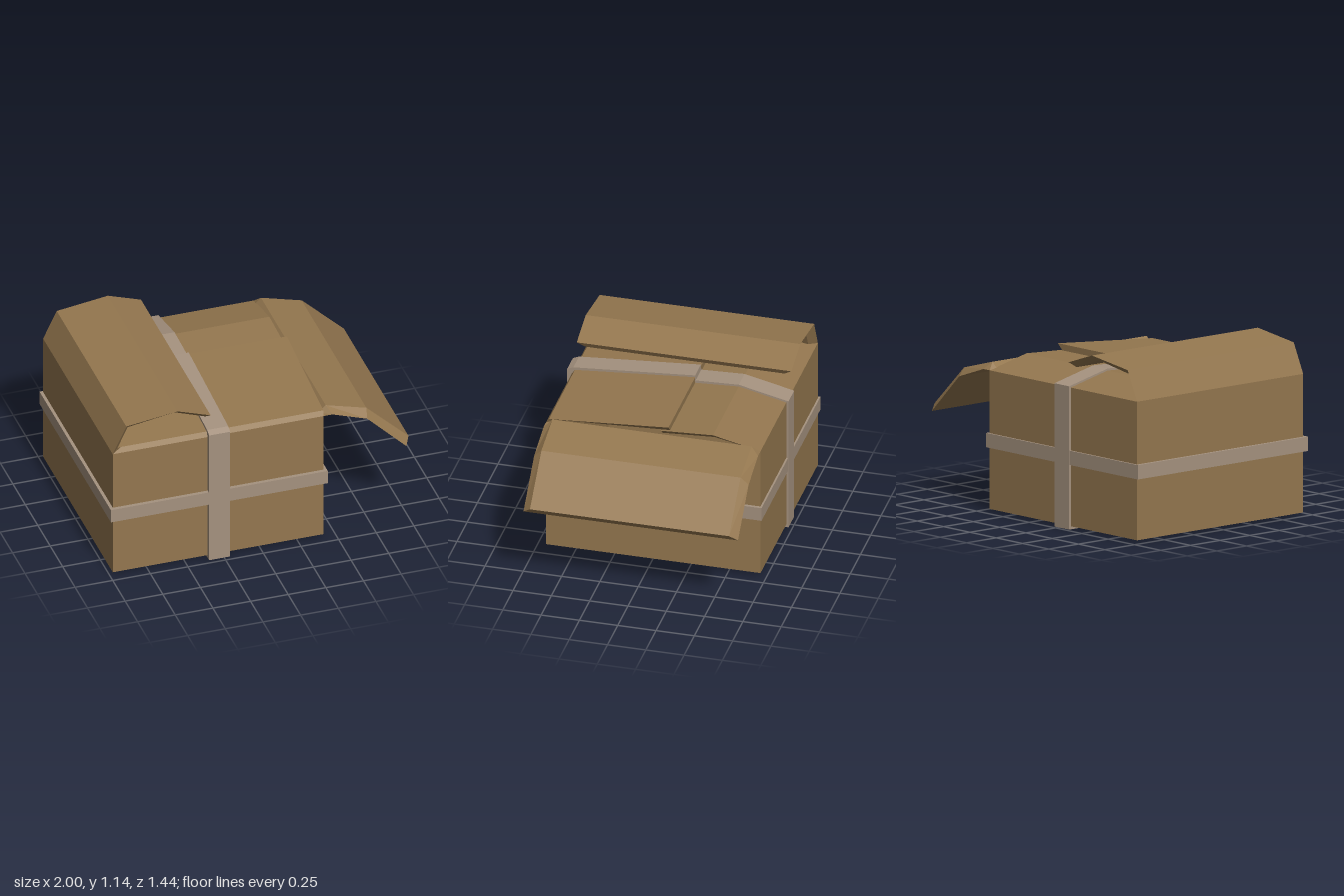
import * as THREE from 'three';

const card = new THREE.MeshStandardMaterial({ color: 0x94774f, flatShading: true });
const tape = new THREE.MeshStandardMaterial({ color: 0xa5927f, flatShading: true });

function addMesh(group, name, geometry, material) {
  const mesh = new THREE.Mesh(geometry, material);
  mesh.name = name;
  group.add(mesh);
  return mesh;
}

// Closed solid through a row of four-cornered sections
function loft(sections) {
  const tris = [];
  const quad = (a, b, c, d) => tris.push([a, b, c], [a, c, d]);
  for (let i = 0; i < sections.length - 1; i++) {
    const s = sections[i], t = sections[i + 1];
    for (let k = 0; k < 4; k++) quad(s[k], s[(k + 1) % 4], t[(k + 1) % 4], t[k]);
  }
  const [a, b, c, d] = sections[0];
  quad(d, c, b, a);
  quad(...sections[sections.length - 1]);
  // Turn the faces outward if the enclosed volume is negative
  let volume = 0;
  for (const [p, q, r] of tris) volume += p.dot(q.clone().cross(r));
  if (volume < 0) tris.forEach((t) => t.reverse());
  const geometry = new THREE.BufferGeometry().setFromPoints(tris.flat());
  geometry.computeVertexNormals();
  return geometry;
}

// Flap running along x: profiles are [x, y], the inner face is narrower in z
function sideFlap(outer, inner) {
  return loft(outer.map(([x, y], i) => {
    const [u, v] = inner[i];
    return [
      new THREE.Vector3(x, y, 0.69), new THREE.Vector3(x, y, -0.71),
      new THREE.Vector3(u, v, -0.66), new THREE.Vector3(u, v, 0.64),
    ];
  }));
}

// Flap running along z: profiles are [z, y], widths are [left edge, right edge] in x
function endFlap(outer, inner, widths) {
  return loft(outer.map(([z, y], i) => {
    const [w, v] = inner[i], [x0, x1] = widths[i];
    return [
      new THREE.Vector3(x0, y, z), new THREE.Vector3(x1, y, z),
      new THREE.Vector3(x1 - 0.04, v, w), new THREE.Vector3(x0 + 0.04, v, w),
    ];
  }));
}

// Extruded outline with a hole of any shape
function ring(outer, inner, depth) {
  const points = (list) => list.map(([x, y]) => new THREE.Vector2(x, y));
  const shape = new THREE.Shape(points(outer));
  shape.holes.push(new THREE.Path(points(inner)));
  return new THREE.ExtrudeGeometry(shape, { depth, bevelEnabled: false });
}

// Upright rectangular ring between two heights; bounds in x and z
function rectRing(x0, x1, z0, z1, wall, y0, y1) {
  const rect = (m) => [[x0 + m, -z1 + m], [x1 - m, -z1 + m], [x1 - m, -z0 - m], [x0 + m, -z0 - m]];
  return ring(rect(0), rect(wall), y1 - y0).rotateX(-Math.PI / 2).translate(0, y0, 0);
}

export function createModel() {
  const box = new THREE.Group();
  box.name = 'cardboardBox';

  // Hollow carton
  addMesh(box, 'walls', rectRing(-0.98, 0.42, -0.71, 0.69, 0.045, 0.02, 0.91), card);
  addMesh(box, 'floor', new THREE.BoxGeometry(1.36, 0.04, 1.36).translate(-0.28, 0.041, -0.01), card);

  // Side flaps: one curled over the top, one hanging outward
  addMesh(box, 'rightFlap', sideFlap(
    [[-0.98, 0.91], [-0.89, 1.1], [-0.55, 1.145], [-0.33, 1.07]],
    [[-0.935, 0.91], [-0.865, 1.06], [-0.56, 1.11], [-0.35, 1.035]]), card);
  addMesh(box, 'leftFlap', sideFlap(
    [[0.42, 0.91], [0.48, 0.91], [0.71, 0.83], [0.97, 0.57]],
    [[0.4, 0.91], [0.45, 0.955], [0.72, 0.88], [1.0, 0.61]]), card);

  // Front and back flaps folded shut, front overlapping back
  addMesh(box, 'frontFlap', endFlap(
    [[0.69, 0.91], [0.67, 0.94], [-0.115, 1.005]],
    [[0.64, 0.91], [0.62, 0.92], [-0.115, 0.965]],
    [[-0.98, 0.42], [-0.92, 0.425], [-0.9, 0.442]]), card);
  addMesh(box, 'backFlap', endFlap(
    [[-0.71, 0.91], [-0.4, 0.98], [-0.06, 0.962]],
    [[-0.66, 0.91], [-0.4, 0.945], [-0.06, 0.925]],
    [[-0.98, 0.42], [-0.92, 0.42], [-0.92, 0.42]]), card);

  // Tape around the middle
  addMesh(box, 'horizontalTape', rectRing(-1, 0.44, -0.722, 0.714, 0.035, 0.415, 0.507), tape);

  // Tape over the top and under the floor, stepping down behind the front flap
  const flip = ([z, y]) => [-z, y];
  const over = [[0.72, 0], [0.72, 0.94], [0.68, 0.957], [-0.115, 1.018], [-0.118, 0.982],
    [-0.4, 0.993], [-0.724, 0.92], [-0.724, 0]].map(flip);
  const under = [[0.68, 0.025], [0.68, 0.9], [-0.1, 0.945], [-0.4, 0.955],
    [-0.7, 0.9], [-0.7, 0.025]].map(flip);
  addMesh(box, 'verticalTape',
    ring(over, under, 0.14).rotateY(Math.PI / 2).translate(-0.35, 0, 0), tape);

  return box;
}
